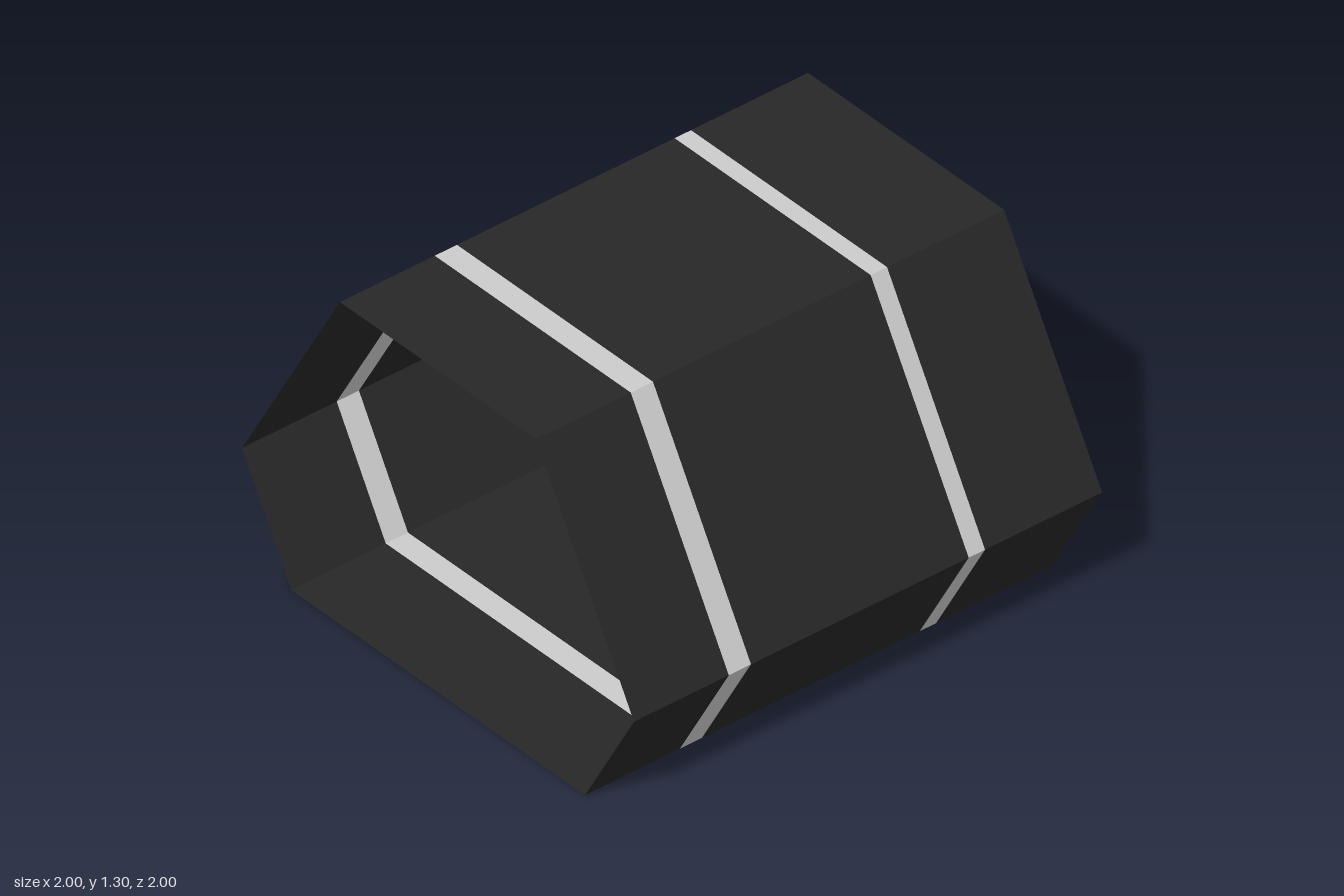
import * as THREE from 'three';

// Six-sided cross-section as [z, y], running round from the top front edge
const profile = [[0.5, 1.3], [1, 0.435], [0.75, 0], [-0.75, 0], [-1, 0.435], [-0.5, 1.3]];

const dark = new THREE.MeshStandardMaterial({ color: 0x272727, side: THREE.DoubleSide, flatShading: true });
const pale = new THREE.MeshStandardMaterial({ color: 0xcccccc, side: THREE.DoubleSide, flatShading: true });

// Open-ended sleeve of the profile between two x positions, faces outward
function sleeve(name, x0, x1, material) {
  const positions = [];
  profile.forEach(([z0, y0], i) => {
    const [z1, y1] = profile[(i + 1) % profile.length];
    const a = [x0, y0, z0], b = [x0, y1, z1], c = [x1, y1, z1], d = [x1, y0, z0];
    positions.push(...a, ...b, ...c, ...a, ...c, ...d);
  });
  const geometry = new THREE.BufferGeometry();
  geometry.setAttribute('position', new THREE.Float32BufferAttribute(positions, 3));
  geometry.computeVertexNormals();
  const mesh = new THREE.Mesh(geometry, material);
  mesh.name = name;
  return mesh;
}

export function createModel() {
  const group = new THREE.Group();
  group.name = 'hexagonalTube';
  // Dark shell sections separated by a wide and a narrow pale band
  group.add(
    sleeve('rightShell', -1, -0.595, dark),
    sleeve('wideBand', -0.595, -0.5, pale),
    sleeve('middleShell', -0.5, 0.43, dark),
    sleeve('narrowBand', 0.43, 0.5, pale),
    sleeve('leftShell', 0.5, 1, dark),
  );
  return group;
}
